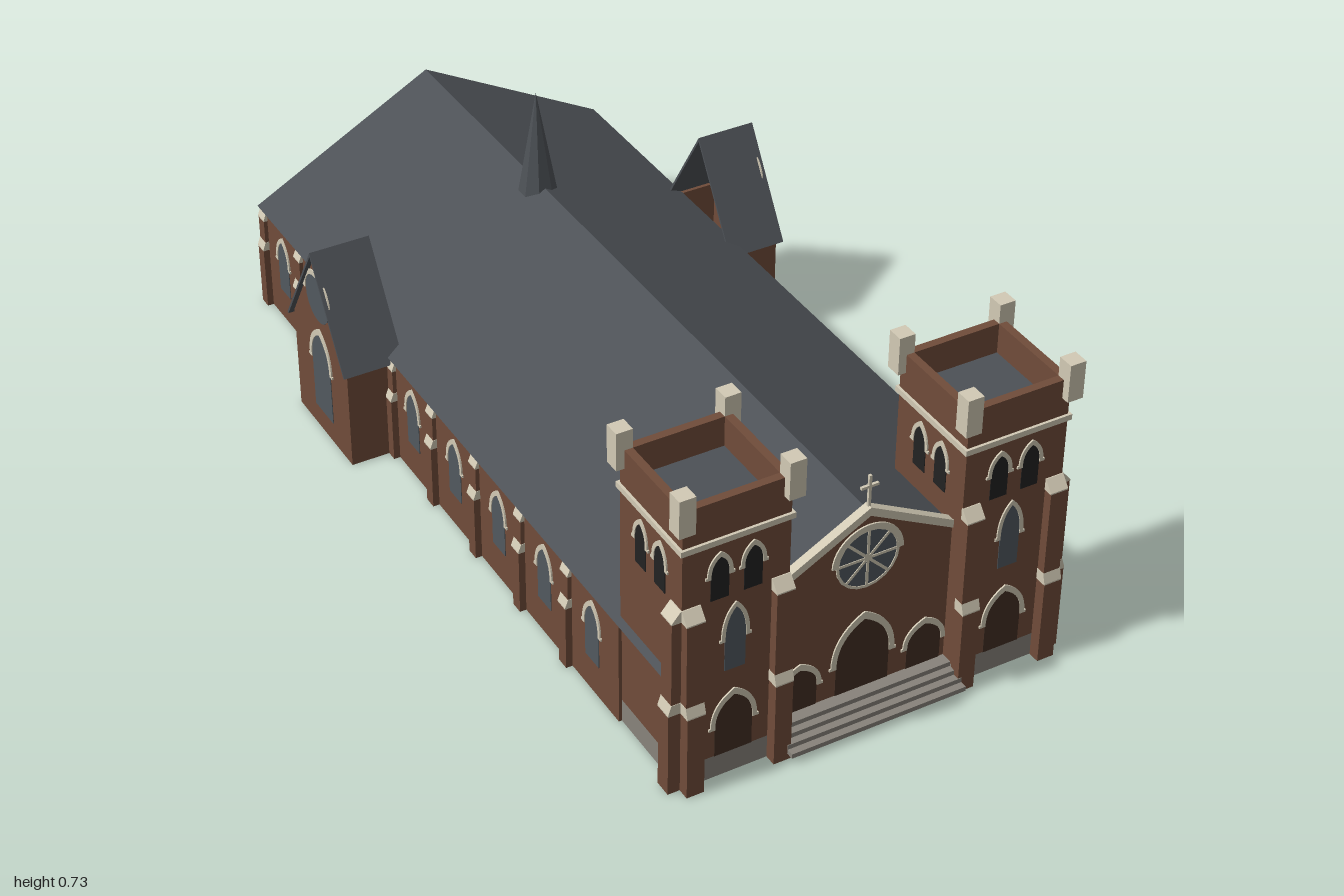
import * as THREE from 'three';

const mat = (name, color) => {
  const m = new THREE.MeshStandardMaterial({ color });
  m.name = name;
  return m;
};

export function createModel() {
  const brick = mat('brick', 0x704c3a);
  const cream = mat('creamStone', 0xd2cab5);
  const slate = mat('slate', 0x4d5156);
  const glass = mat('glass', 0x51595f);
  const wood = mat('darkWood', 0x432f24);
  const dark = mat('louvre', 0x222222);
  const stone = mat('greyStone', 0x88837b);

  const model = new THREE.Group();
  model.name = 'church';

  const add = (parent, name, geo, m) => {
    const mesh = new THREE.Mesh(geo, m);
    mesh.name = name;
    parent.add(mesh);
    return mesh;
  };
  // Box given by its minimum and maximum corners
  const box = (parent, name, m, x0, x1, y0, y1, z0, z1) => {
    const b = add(parent, name, new THREE.BoxGeometry(x1 - x0, y1 - y0, z1 - z0), m);
    b.position.set((x0 + x1) / 2, (y0 + y1) / 2, (z0 + z1) / 2);
    return b;
  };
  const poly = (pts) => new THREE.Shape(pts.map((p) => new THREE.Vector2(p[0], p[1])));
  const extrude = (shape, depth, z = 0) =>
    new THREE.ExtrudeGeometry(shape, { depth, bevelEnabled: false, curveSegments: 10 }).translate(0, 0, z);
  // Group on a wall, its local +z pointing out of the wall
  const face = (parent, name, x, z, turn) => {
    const g = new THREE.Group();
    g.name = name;
    g.position.set(x, 0, z);
    g.rotation.y = turn;
    parent.add(g);
    return g;
  };

  // Pointed opening: half width w, sill y0, springing s, apex a; wall thickness t shows it inside too
  const opening = (parent, name, m, x, w, y0, s, a, t = 0) => {
    const g = face(parent, name, x, 0, 0);
    const k = s + (a - s) * 0.68;
    const pane = new THREE.Shape();
    pane.moveTo(-w, y0).lineTo(w, y0).lineTo(w, s);
    pane.quadraticCurveTo(w, k, 0, a).quadraticCurveTo(-w, k, -w, s);
    add(g, 'pane', extrude(pane, 0.0015), m);
    if (t) add(g, 'innerPane', extrude(pane, 0.0015, -t - 0.0015), m);
    // Hood moulding with small turned-out feet
    const h = 0.006 + w * 0.1, W = w + h, A = a + h * 1.5, K = s + (A - s) * 0.68;
    const hood = new THREE.Shape();
    hood.moveTo(-w, s - 0.006).lineTo(-w, s).quadraticCurveTo(-w, k, 0, a).quadraticCurveTo(w, k, w, s);
    hood.lineTo(w, s - 0.006).lineTo(W + 0.004, s - 0.006).lineTo(W + 0.004, s).lineTo(W, s);
    hood.quadraticCurveTo(W, K, 0, A).quadraticCurveTo(-W, K, -W, s);
    hood.lineTo(-W - 0.004, s).lineTo(-W - 0.004, s - 0.006);
    add(g, 'hood', extrude(hood, 0.0035), cream);
  };

  // Round window with a half-ring hood and optional spokes
  const rose = (parent, name, y, r, spokes, t) => {
    const g = new THREE.Group();
    g.name = name;
    g.position.y = y;
    parent.add(g);
    const disc = new THREE.Shape().absarc(0, 0, r, 0, Math.PI * 2);
    add(g, 'pane', extrude(disc, 0.0015), glass);
    add(g, 'innerPane', extrude(disc, 0.0015, -t - 0.0015), glass);
    const hood = new THREE.Shape();
    hood.absarc(0, 0, r + 0.012, 0, Math.PI, false);
    hood.absarc(0, 0, r, Math.PI, 0, true);
    add(g, 'hood', extrude(hood, 0.0035), cream);
    if (!spokes) return;
    const ring = new THREE.Shape().absarc(0, 0, r + 0.003, 0, Math.PI * 2);
    ring.holes.push(new THREE.Path().absarc(0, 0, r - 0.003, 0, Math.PI * 2, true));
    add(g, 'ring', extrude(ring, 0.003), cream);
    for (let i = 0; i < spokes / 2; i++) {
      const bar = add(g, 'spoke', new THREE.BoxGeometry(r * 2, 0.006, 0.002), cream);
      bar.position.z = 0.002;
      bar.rotation.z = (i * Math.PI * 2) / spokes;
    }
  };

  // Two-stage buttress with sloping caps; stages are [bottom, capBottom, capTop, depth, depthAbove]
  const buttress = (parent, x, z, turn, w, stages) => {
    const g = face(parent, 'buttress', x, z, turn);
    for (const [y0, y1, y2, d, d2] of stages) {
      box(g, 'shaft', brick, -w / 2, w / 2, y0, y1, -0.002, d);
      const cap = poly([[-0.002, y1], [d + 0.001, y1], [d + 0.001, y1 + 0.003], [d2, y2], [-0.002, y2]]);
      add(g, 'cap', extrude(cap, w + 0.002, -w / 2 - 0.001).rotateY(-Math.PI / 2), cream);
    }
  };

  // Main roof, two slopes open to the inside
  const roof = poly([[-0.448, 0.26], [-0.436, 0.26], [0, 0.492], [0.436, 0.26], [0.448, 0.26], [0, 0.5]]);
  add(model, 'mainRoof', extrude(roof, 1.917, -1), slate);

  // Back gable wall with its window
  add(model, 'backWall', extrude(poly([[-0.44, 0], [0.44, 0], [0.44, 0.262], [0, 0.496], [-0.44, 0.262]]), 0.012, -0.998), brick);
  opening(face(model, 'backWindow', 0, -0.998, Math.PI), 'window', glass, 0, 0.033, 0.1, 0.24, 0.315, 0.012);

  // Front gable wall between the towers
  const front = face(model, 'frontGable', 0, 0.925, 0);
  add(front, 'frontWall', extrude(poly([[-0.2, 0], [0.2, 0], [0.2, 0.392], [0, 0.499], [-0.2, 0.392]]), 0.012, -0.012), brick);
  add(front, 'coping', extrude(poly([[-0.2, 0.386], [0, 0.493], [0.2, 0.386], [0.2, 0.405], [0, 0.513], [-0.2, 0.405]]), 0.02, -0.015), cream);
  opening(front, 'mainDoor', wood, 0, 0.062, 0.055, 0.135, 0.235, 0.012);
  for (const s of [-1, 1]) opening(front, 'sideDoor', wood, s * 0.146, 0.04, 0.055, 0.115, 0.163, 0.012);
  rose(front, 'roseWindow', 0.388, 0.07, 8, 0.012);
  box(front, 'crossPost', cream, -0.003, 0.003, 0.505, 0.585, -0.008, -0.002);
  box(front, 'crossBar', cream, -0.02, 0.02, 0.556, 0.562, -0.008, -0.002);

  // Front steps
  for (let i = 0; i < 4; i++) {
    box(model, 'step', stone, -0.205, 0.205, 0.015 + i * 0.011, 0.026 + i * 0.011, 0.915, 1 - i * 0.016);
  }

  // Spire on the ridge
  const spire = add(model, 'spire', new THREE.ConeGeometry(0.044, 0.252, 8).rotateY(Math.PI / 8).toNonIndexed(), slate);
  spire.geometry.computeVertexNormals();
  spire.position.set(0, 0.601, -0.437);

  const bays = [0.617, 0.414, 0.211, 0.008, -0.195, -0.676, -0.88];
  const piers = [0.516, 0.313, 0.11, -0.094, -0.29, -0.78, -0.98];

  for (const s of [-1, 1]) {
    const turn = (s * Math.PI) / 2;
    const out = s > 0 ? 'left' : 'right';

    // Nave side wall on either side of the transept
    const side = face(model, out + 'NaveSide', s * 0.44, 0, turn);
    for (const [z0, z1] of [[-0.998, -0.565], [-0.305, 0.725]]) {
      const a = -s * z0, b = -s * z1;
      box(side, 'wall', brick, Math.min(a, b), Math.max(a, b), 0, 0.261, -0.012, 0);
    }
    for (const z of bays) opening(side, 'naveWindow', glass, -s * z, 0.028, 0.08, 0.165, 0.222, 0.012);
    for (const z of piers) {
      buttress(side, -s * z, 0, 0, 0.03, [[0, 0.155, 0.177, 0.015, 0.009], [0.177, 0.235, 0.258, 0.009, 0.002]]);
    }

    // Transept: gable wall, cheeks and open-ended roof
    const tr = face(model, out + 'Transept', s * 0.545, -0.437, turn);
    add(tr, 'gableWall', extrude(poly([[-0.137, 0], [0.137, 0], [0.137, 0.258], [0, 0.479], [-0.137, 0.258]]), 0.01, -0.01), brick);
    for (const c of [-1, 1]) {
      box(tr, 'cheek', brick, c * 0.132 - 0.005, c * 0.132 + 0.005, 0, 0.258, -0.115, -0.005);
    }
    add(tr, 'transeptRoof', extrude(poly([[-0.15, 0.245], [-0.145, 0.243], [0, 0.477], [0.145, 0.243], [0.15, 0.245], [0, 0.487]]), 0.142, -0.13), slate);
    opening(tr, 'tallWindow', glass, 0, 0.046, 0.055, 0.19, 0.268, 0.01);
    rose(tr, 'roundWindow', 0.363, 0.058, 0, 0.01);

    // Hollow tower, centred on its own origin
    const t = face(model, out + 'Tower', s * 0.315, 0.8375, 0);
    const h = 0.118;
    box(t, 'towerRoof', slate, -h + 0.01, h - 0.01, 0.605, 0.614, -h + 0.01, h - 0.01);
    for (let i = 0; i < 4; i++) {
      const a = (i * Math.PI) / 2;
      const f = face(t, 'towerFace', Math.sin(a) * h, Math.cos(a) * h, a);
      box(f, 'base', stone, -h, h, 0, 0.055, -0.012, 0);
      box(f, 'wall', brick, -h, h, 0.055, 0.61, -0.012, 0);
      box(f, 'parapet', brick, -h, h, 0.608, 0.683, -0.018, 0);
      box(f, 'stringCourse', cream, -h - 0.006, h + 0.006, 0.584, 0.597, -0.006, 0.006);
      for (const c of [-1, 1]) opening(f, 'belfryOpening', dark, c * 0.0365, 0.02, 0.45, 0.51, 0.552);
    }
    for (const x of [-h, h]) {
      for (const z of [-h, h]) box(t, 'pinnacle', cream, x - 0.018, x + 0.018, 0.64, 0.727, z - 0.018, z + 0.018);
    }
    const tf = face(t, 'towerFront', 0, h, 0);
    opening(tf, 'towerDoor', wood, 0, 0.042, 0.055, 0.13, 0.2, 0.012);
    opening(tf, 'towerWindow', glass, 0, 0.023, 0.265, 0.345, 0.418, 0.012);

    // Tower buttresses: two in front and one on the outer side
    const stages = [[0, 0.2, 0.226, 0.027, 0.021], [0.226, 0.425, 0.452, 0.021, 0.002]];
    for (const c of [-1, 1]) buttress(t, c * 0.0985, h, 0, 0.039, stages);
    buttress(t, s * h, 0.0985, turn, 0.039, stages);
  }

  return model;
}
